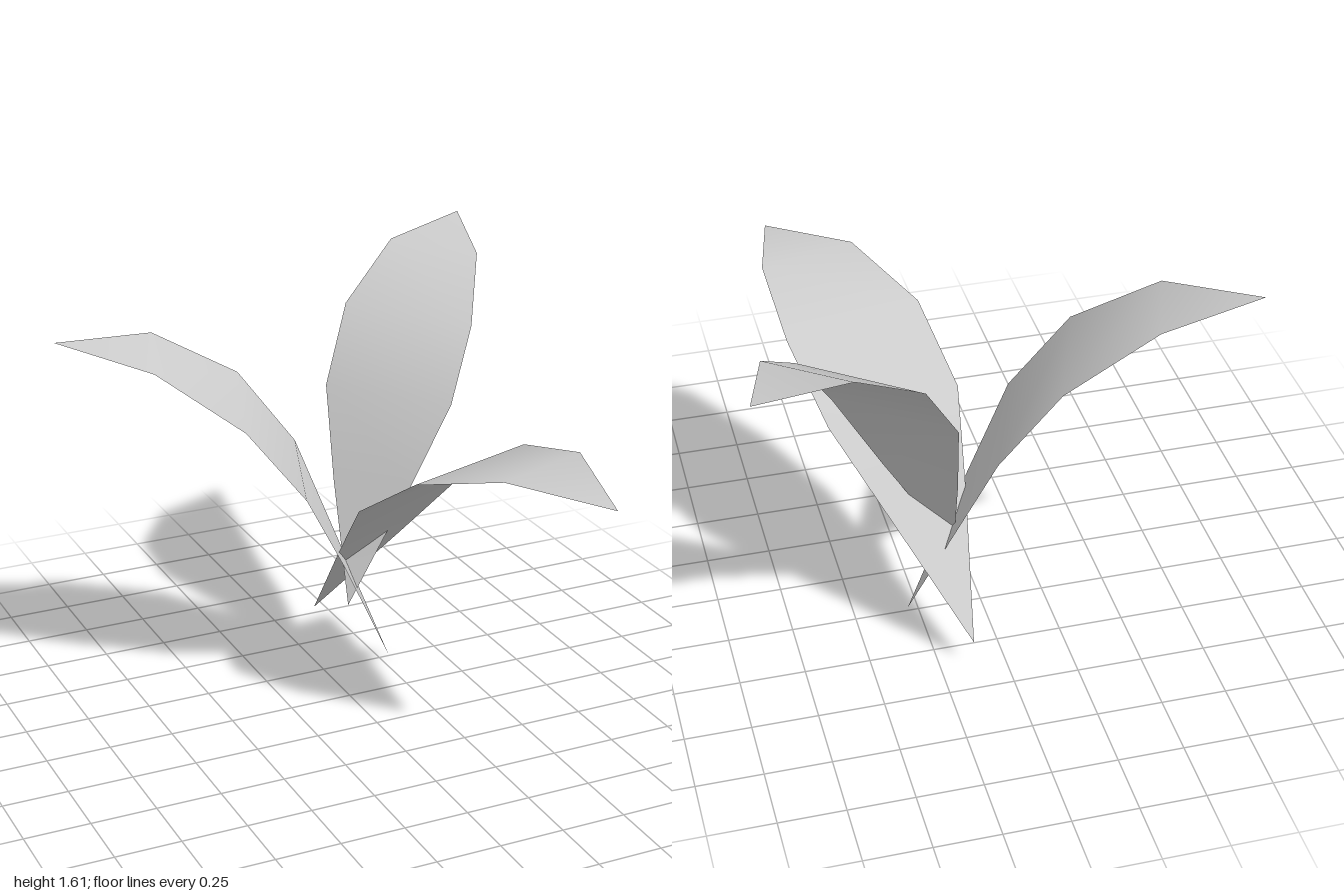
import * as THREE from 'three';

const material = new THREE.MeshStandardMaterial({ color: 0xcccccc, side: THREE.DoubleSide });

// A curved leaf blade: pointed base, rows of [right edge, left edge], pointed tip
function makeLeaf(name, base, rows, tip) {
  const points = [base, ...rows.flat(), tip];
  const index = [0, 1, 2];
  for (let i = 0; i < rows.length - 1; i++) {
    const a = 1 + i * 2;
    index.push(a, a + 2, a + 3, a, a + 3, a + 1);
  }
  const last = points.length - 1;
  index.push(last - 2, last, last - 1);

  const geometry = new THREE.BufferGeometry();
  geometry.setAttribute('position', new THREE.Float32BufferAttribute(points.flat(), 3));
  geometry.setIndex(index);
  geometry.computeVertexNormals();
  const leaf = new THREE.Mesh(geometry, material);
  leaf.name = name;
  return leaf;
}

export function createModel() {
  const group = new THREE.Group();
  group.name = 'leafPlant';

  // Leaf arching forward
  group.add(makeLeaf('frontLeaf', [0.12, 0.11, -0.61], [
    [[0.05, 0.52, -0.22], [0.365, 0.52, -0.315]],
    [[0.01, 0.82, 0.06], [0.55, 0.83, -0.1]],
    [[0.09, 1.03, 0.37], [0.64, 1.04, 0.2]],
    [[0.28, 1.13, 0.7], [0.66, 1.14, 0.58]],
  ], [0.575, 1.08, 0.995]));

  // Leaf arching to the right side
  group.add(makeLeaf('rightLeaf', [0.29, 0.01, -0.235], [
    [[0.14, 0.5, -0.42], [0.04, 0.5, -0.125]],
    [[0.02, 0.89, -0.565], [-0.165, 0.86, -0.03]],
    [[-0.2, 1.195, -0.62], [-0.39, 1.155, -0.075]],
    [[-0.55, 1.405, -0.63], [-0.68, 1.375, -0.25]],
  ], [-0.965, 1.445, -0.555]));

  // Taller leaf arching to the back left
  group.add(makeLeaf('backLeaf', [0.105, 0.28, -0.24], [
    [[0.38, 0.74, -0.245], [0.143, 0.74, -0.46]],
    [[0.56, 1.06, -0.25], [0.175, 1.09, -0.6]],
    [[0.71, 1.33, -0.375], [0.325, 1.375, -0.735]],
    [[0.87, 1.54, -0.64], [0.6, 1.57, -0.885]],
  ], [0.965, 1.615, -1.0]));

  return group;
}
